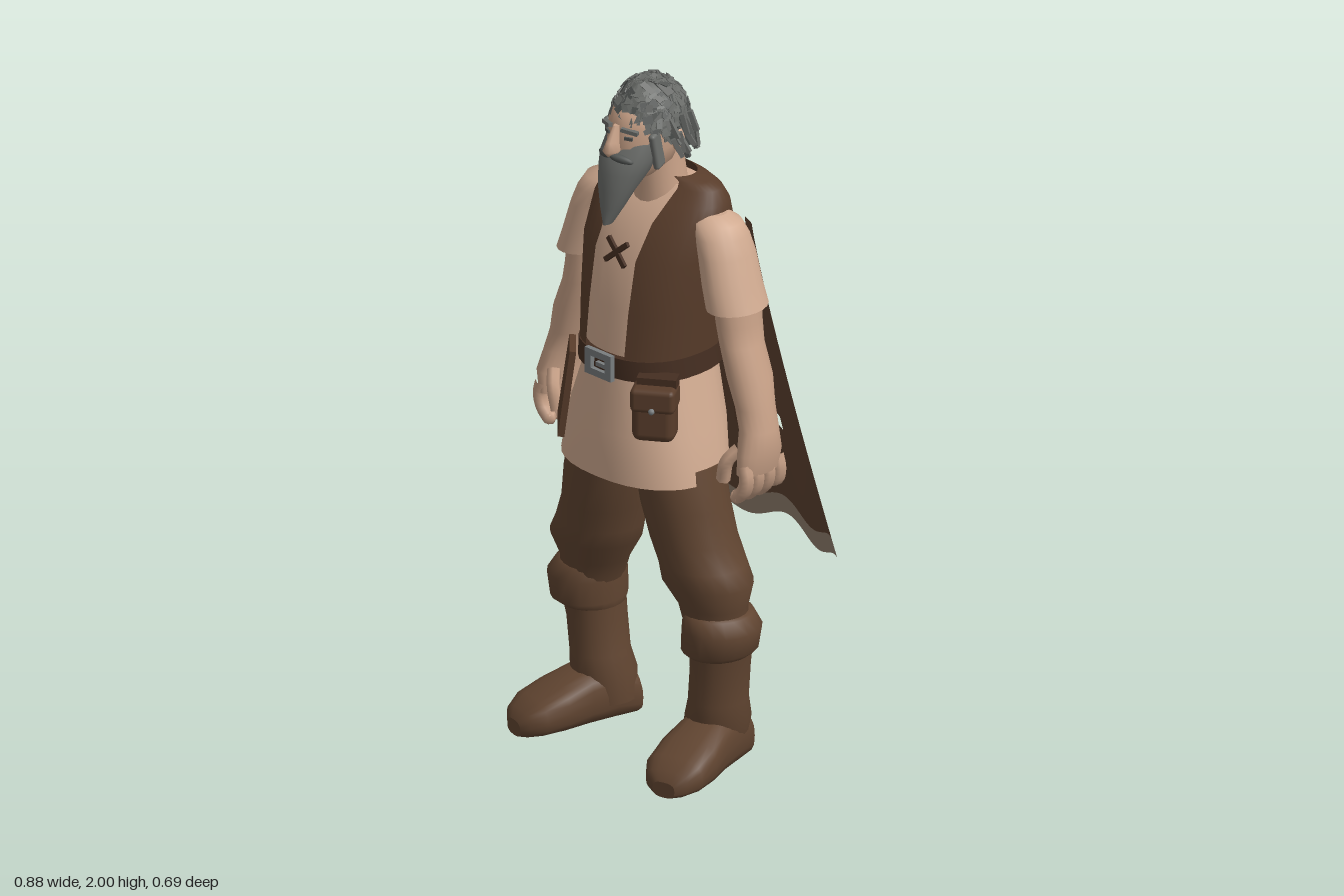
import * as THREE from 'three';
import { mergeGeometries } from 'three/addons/utils/BufferGeometryUtils.js';
import { RoundedBoxGeometry } from 'three/addons/geometries/RoundedBoxGeometry.js';

const mat = (name, color, side = THREE.FrontSide) => {
  const m = new THREE.MeshStandardMaterial({ color, side });
  m.name = name;
  return m;
};

// Cross-sections [cx, y, cz, rx, rz, gap] listed bottom to top; a gap leaves the front open.
function loft(rings, { n = 20, p = 2, open = false } = {}) {
  const pos = [], idx = [], cols = open ? n + 1 : n;
  const pw = (v) => Math.sign(v) * Math.abs(v) ** (2 / p);
  const addRing = ([cx, y, cz, rx, rz, gap = 0]) => {
    const g = open ? Math.asin((gap / rx) ** (p / 2)) : 0;
    for (let j = 0; j < cols; j++) {
      const a = g + ((Math.PI * 2 - 2 * g) * j) / n;
      pos.push(cx + rx * pw(Math.sin(a)), y, cz + rz * pw(Math.cos(a)));
    }
  };
  rings.forEach(addRing);
  for (let i = 0; i < rings.length - 1; i++) {
    for (let j = 0; j < n; j++) {
      const k = open ? j + 1 : (j + 1) % n;
      const a = i * cols + j, b = i * cols + k;
      idx.push(a, b, a + cols, b, b + cols, a + cols);
    }
  }
  if (!open) {
    [rings[0], rings[rings.length - 1]].forEach((r, top) => {
      const s = pos.length / 3, c = s + n;
      addRing(r);
      pos.push(r[0], r[1], r[2]);
      for (let j = 0; j < n; j++) {
        const k = (j + 1) % n;
        if (top) idx.push(c, s + j, s + k);
        else idx.push(c, s + k, s + j);
      }
    });
  }
  return surface(pos, idx);
}

function surface(pos, idx) {
  const geo = new THREE.BufferGeometry();
  geo.setAttribute('position', new THREE.Float32BufferAttribute(pos, 3));
  geo.setIndex(idx);
  geo.computeVertexNormals();
  return geo;
}

export function createModel() {
  const model = new THREE.Group();
  const skin = mat('skin', 0xc8a187), tunic = mat('tunic cloth', 0xd0aa90);
  const vestMat = mat('vest leather', 0x593d2b, THREE.DoubleSide);
  const capeMat = mat('cape cloth', 0x5f4331, THREE.DoubleSide);
  const hemMat = mat('cape hem', 0x958270, THREE.DoubleSide);
  const leather = mat('boot and trouser brown', 0x614531), dark = mat('dark leather', 0x452e21);
  const grey = mat('grey hair', 0x6a6c69), darkGrey = mat('dark grey hair', 0x525553);
  const metal = mat('buckle metal', 0x797d7f);

  const add = (name, geo, m, parent = model, at = [0, 0, 0], rot = [0, 0, 0]) => {
    const mesh = new THREE.Mesh(geo, m);
    mesh.name = name;
    mesh.position.set(...at);
    mesh.rotation.set(...rot);
    parent.add(mesh);
    return mesh;
  };
  const box = (x, y, z) => new THREE.BoxGeometry(x, y, z);
  const tube = (pts, r, n = 6) => new THREE.TubeGeometry(
    new THREE.CatmullRomCurve3(pts.map((q) => new THREE.Vector3(...q))), 8, r, n);

  // Tunic, vest and belt
  add('tunic', loft([
    [0, 0.86, 0.12, 0.25, 0.19], [0, 1.0, 0.112, 0.223, 0.19], [0, 1.15, 0.1, 0.178, 0.175],
    [0, 1.22, 0.1, 0.168, 0.17], [0, 1.35, 0.09, 0.185, 0.165], [0, 1.5, 0.075, 0.2, 0.152],
    [0, 1.6, 0.05, 0.2, 0.12], [0, 1.65, 0.033, 0.185, 0.086], [0, 1.68, 0.025, 0.14, 0.055],
  ], { n: 32, p: 2.3 }), tunic);
  add('vest', loft([
    [0, 1.2, 0.1, 0.184, 0.187, 0.075], [0, 1.35, 0.09, 0.2, 0.178, 0.076],
    [0, 1.5, 0.075, 0.216, 0.166, 0.078], [0, 1.6, 0.05, 0.222, 0.134, 0.085],
    [0, 1.65, 0.036, 0.213, 0.103, 0.095], [0, 1.685, 0.028, 0.188, 0.075, 0.1],
    [0, 1.7, 0.03, 0.15, 0.066, 0.095], [0, 1.71, 0.04, 0.1, 0.06, 0.075],
  ], { n: 36, p: 2.3, open: true }), vestMat);
  add('belt', loft([[0, 1.16, 0.1, 0.19, 0.19], [0, 1.22, 0.1, 0.187, 0.189]], { n: 32, p: 2.3 }), dark);
  const rect = (w, h) => [[-w, -h], [w, -h], [w, h], [-w, h]].map((q) => new THREE.Vector2(...q));
  const frame = new THREE.Shape(rect(0.051, 0.038));
  frame.holes.push(new THREE.Path(rect(0.028, 0.018).reverse()));
  add('buckle', new THREE.ExtrudeGeometry(frame, { depth: 0.015, bevelEnabled: false }), metal, model, [0, 1.19, 0.287]);
  add('bucklePin', box(0.04, 0.012, 0.012), metal, model, [0.01, 1.19, 0.295]);
  for (const s of [-1, 1]) {
    add('lacing', box(0.1, 0.014, 0.01), dark, model, [0, 1.505, 0.23], [-0.2, 0, s * 0.72]);
  }

  // Hip flaps and pouch
  const flap = (w) => {
    const g = box(w, 0.25, 0.018), q = g.attributes.position;
    for (let i = 0; i < q.count; i++) if (q.getY(i) > 0) q.setX(i, q.getX(i) * 0.75);
    return g;
  };
  add('rightHipFlap', flap(0.15), vestMat, model, [-0.19, 1.05, 0.235], [-0.18, -0.75, -0.15]);
  add('backHipFlap', flap(0.15), vestMat, model, [0.205, 1.05, -0.045], [0.15, 2.6, 0.15]);
  const pouch = new THREE.Group();
  pouch.name = 'pouch';
  pouch.position.set(0.172, 1.09, 0.25);
  pouch.rotation.y = 0.6;
  model.add(pouch);
  add('pouchBody', new RoundedBoxGeometry(0.12, 0.15, 0.085, 3, 0.025), vestMat, pouch, [0, -0.005, 0]);
  add('pouchFlap', new RoundedBoxGeometry(0.125, 0.07, 0.095, 2, 0.015), vestMat, pouch, [0, 0.045, 0.002]);
  add('pouchStrap', box(0.11, 0.03, 0.05), dark, pouch, [0.005, 0.085, -0.015]);
  add('pouchButton', new THREE.SphereGeometry(0.009, 8, 6), metal, pouch, [0, 0.02, 0.052]);

  // Arms and legs: the left side is built, the right one reuses it reversed in x
  const mirrorX = (g) => {
    const m = g.clone().scale(-1, 1, 1), ix = m.index.array;
    for (let i = 0; i < ix.length; i += 3) [ix[i], ix[i + 1]] = [ix[i + 1], ix[i]];
    return m;
  };
  const pair = (name, geo, m) => {
    add('left' + name, geo, m);
    add('right' + name, mirrorX(geo), m);
  };
  pair('Sleeve', loft([
    [0.293, 1.385, 0.055, 0.074, 0.096], [0.272, 1.45, 0.055, 0.072, 0.092], [0.25, 1.53, 0.053, 0.069, 0.088],
    [0.23, 1.58, 0.052, 0.07, 0.08], [0.205, 1.615, 0.05, 0.076, 0.066], [0.18, 1.632, 0.045, 0.05, 0.04],
  ]), tunic);
  pair('Arm', loft([
    [0.388, 0.93, 0.07, 0.036, 0.072], [0.393, 0.99, 0.068, 0.045, 0.074], [0.383, 1.05, 0.06, 0.048, 0.06],
    [0.363, 1.11, 0.055, 0.05, 0.06], [0.34, 1.19, 0.053, 0.057, 0.069], [0.308, 1.28, 0.052, 0.054, 0.068],
    [0.295, 1.34, 0.05, 0.055, 0.072], [0.287, 1.41, 0.05, 0.056, 0.075],
  ]), skin);
  const knuckles = [0.005, 0.046, 0.088, 0.128];
  const fingers = knuckles.map((z, i) => tube(
    [[0.395, 0.96, z], [0.405, 0.92, z], [0.395, 0.885, z], [0.368, i ? 0.858 : 0.875, z]], 0.021));
  fingers.push(tube([[0.365, 1.0, 0.115], [0.34, 0.96, 0.14], [0.325, 0.9, 0.14]], 0.02));
  fingers.push(...knuckles.map((z, i) => new THREE.SphereGeometry(0.021, 6, 4).translate(0.368, i ? 0.86 : 0.877, z)));
  pair('Fingers', mergeGeometries(fingers), skin);
  pair('TrouserLeg', loft([
    [0.245, 0.42, 0.085, 0.085, 0.09], [0.232, 0.49, 0.087, 0.1, 0.094], [0.219, 0.56, 0.096, 0.134, 0.12],
    [0.2, 0.61, 0.097, 0.128, 0.117], [0.174, 0.68, 0.105, 0.121, 0.121], [0.15, 0.78, 0.114, 0.127, 0.122],
    [0.125, 0.9, 0.116, 0.122, 0.128],
  ]), leather);
  pair('BootCuff', loft([
    [0.247, 0.345, 0.08, 0.085, 0.095], [0.256, 0.365, 0.085, 0.1, 0.114], [0.264, 0.43, 0.085, 0.107, 0.115],
    [0.25, 0.47, 0.085, 0.095, 0.1], [0.245, 0.475, 0.085, 0.075, 0.08],
  ]), leather);
  pair('BootShaft', loft([
    [0.212, 0.06, 0.055, 0.077, 0.085], [0.224, 0.14, 0.062, 0.09, 0.095], [0.232, 0.2, 0.068, 0.079, 0.088],
    [0.242, 0.3, 0.07, 0.079, 0.088], [0.25, 0.37, 0.075, 0.084, 0.093],
  ]), leather);
  // Foot sections run from heel to toe: [distance, half width, height]
  const foot = (list) => loft(list.map(([z, w, h]) => [0, z, -h / 2, w, h / 2]), { n: 20, p: 2.8 })
    .rotateX(Math.PI / 2).rotateY(0.25).translate(0.208, 0, 0);
  pair('BootFoot', foot([[-0.032, 0.05, 0.09], [-0.015, 0.07, 0.13], [0.06, 0.08, 0.17], [0.14, 0.084, 0.158],
    [0.22, 0.094, 0.13], [0.29, 0.09, 0.1], [0.33, 0.067, 0.073], [0.347, 0.035, 0.045]]), leather);

  // Head and face
  add('neck', loft([[0, 1.6, 0.055, 0.09, 0.085], [0, 1.68, 0.062, 0.072, 0.075], [0, 1.8, 0.075, 0.065, 0.07]]), skin);
  add('head', loft([
    [0, 1.72, 0.15, 0.04, 0.06], [0, 1.76, 0.13, 0.075, 0.1], [0, 1.81, 0.125, 0.09, 0.114],
    [0, 1.88, 0.118, 0.092, 0.112], [0, 1.915, 0.112, 0.085, 0.102], [0, 1.945, 0.1, 0.065, 0.08],
    [0, 1.97, 0.1, 0.035, 0.04],
  ], { n: 24 }), skin);
  add('nose', loft([[0, 1.8, 0.235, 0.012, 0.03], [0, 1.815, 0.243, 0.022, 0.035], [0, 1.84, 0.238, 0.015, 0.03],
    [0, 1.885, 0.225, 0.009, 0.016]], { n: 10 }), skin);
  for (const s of [-1, 1]) {
    add('ear', new THREE.SphereGeometry(0.03, 10, 8).scale(0.45, 1.15, 0.75), skin, model, [s * 0.1, 1.83, 0.09]);
    add('eye', box(0.024, 0.009, 0.008), darkGrey, model, [s * 0.04, 1.853, 0.223], [0, s * 0.35, 0]);
    add('eyebrow', box(0.05, 0.011, 0.014), grey, model, [s * 0.043, 1.875, 0.222], [0, s * 0.4, -s * 0.12]);
    add('moustache', new THREE.SphereGeometry(0.03, 10, 8).scale(1.3, 0.4, 0.4), darkGrey, model,
      [s * 0.032, 1.796, 0.243], [0, s * 0.45, -s * 0.2]);
    add('sideburn', new RoundedBoxGeometry(0.02, 0.11, 0.045, 2, 0.009), grey, model,
      [s * 0.084, 1.815, 0.158], [0.2, s * 0.3, 0]);
  }
  add('beard', loft([
    [0, 1.6, 0.262, 0.008, 0.018], [0, 1.65, 0.246, 0.034, 0.034], [0, 1.7, 0.228, 0.055, 0.05],
    [0, 1.75, 0.2, 0.074, 0.07], [0, 1.79, 0.182, 0.086, 0.074], [0, 1.835, 0.155, 0.089, 0.07],
  ], { n: 20 }), grey);

  // Hair: a tilted cap covered in overlapping strands
  const radii = new THREE.Vector3(0.102, 0.142, 0.118), centre = new THREE.Vector3(0, 1.85, 0.103);
  const tilt = new THREE.Matrix4().makeRotationX(-0.56);
  add('hairCap', new THREE.SphereGeometry(1, 24, 14, 0, Math.PI * 2, 0, 1.7).applyMatrix4(tilt)
    .scale(radii.x, radii.y, radii.z).translate(centre.x, centre.y, centre.z), grey);
  let seed = 7;
  const rnd = () => (seed = (seed * 16807) % 2147483647) / 2147483647;
  const strands = [[], []];
  for (let i = 0; i < 240; i++) {
    const th = Math.acos(1 - rnd() * 1.12), ph = rnd() * Math.PI * 2;
    const d = new THREE.Vector3(Math.sin(th) * Math.sin(ph), Math.cos(th), Math.sin(th) * Math.cos(ph)).applyMatrix4(tilt);
    const n = d.clone().divide(radii).normalize();
    const down = new THREE.Vector3(0, -1, -0.25).addScaledVector(n, n.y + 0.25 * n.z).normalize();
    const m = new THREE.Matrix4().makeBasis(down.clone().cross(n), down, n).setPosition(d.multiply(radii).add(centre));
    const g = box(0.014 + rnd() * 0.016, 0.04 + rnd() * 0.04, 0.003);
    g.rotateX(-0.07 + rnd() * 0.14).rotateZ((rnd() - 0.5) * 1.0).applyMatrix4(m);
    strands[i % 5 ? 0 : 1].push(g);
  }
  for (const s of [-1, 1]) {
    for (let i = 0; i < 16; i++) {
      strands[i % 4 ? 0 : 1].push(box(0.013, 0.06, 0.014).rotateZ(s * (0.1 + rnd() * 0.5)).rotateY(rnd())
        .translate(s * (0.1 + rnd() * 0.022), 1.8 + rnd() * 0.1, 0.045 + rnd() * 0.07));
    }
  }
  add('hairStrands', mergeGeometries(strands[0]), grey);
  add('darkHairStrands', mergeGeometries(strands[1]), darkGrey);

  // Cape: a curved sheet with a ragged top, wavy hem and worn holes given as [u0, u1, v0, v1]
  const holes = [[0.29, 0.42, 0.41, 0.5], [0.38, 0.54, 0.53, 0.57], [0.4, 0.54, 0.62, 0.66]];
  const capePoint = (u, v) => {
    const edge = -0.02 - 0.22 * v ** 1.2, mid = -0.08 - 0.27 * v ** 1.08;
    const bottom = 0.545 + 0.022 * Math.sin(u * Math.PI * 2.5);
    return [u * (0.272 + 0.108 * v), 1.6 + (bottom - 1.6) * v, mid + (edge - mid) * u * u];
  };
  const sheet = (topAt, from, to, cols, rows) => {
    const pos = [], idx = [], uAt = (j) => (j / cols) * 2 - 1, vAt = (i) => from + ((to - from) * i) / rows;
    for (let i = 0; i <= rows; i++) {
      for (let j = 0; j <= cols; j++) pos.push(...capePoint(uAt(j), Math.max(vAt(i), topAt(uAt(j), j))));
    }
    for (let i = 0; i < rows; i++) {
      for (let j = 0; j < cols; j++) {
        const a = i * (cols + 1) + j, b = a + cols + 1, u = uAt(j + 0.5), v = vAt(i + 0.5);
        const torn = vAt(i + 1) <= Math.min(topAt(uAt(j), j), topAt(uAt(j + 1), j + 1));
        if (torn || holes.some((h) => u > h[0] && u < h[1] && v > h[2] && v < h[3])) continue;
        idx.push(a, a + 1, b, a + 1, b + 1, b);
      }
    }
    return surface(pos, idx);
  };
  const ragged = (u, j) => Math.max(0, 0.27 * (1 - (Math.abs(u) / 0.8) ** 2.4))
    + (Math.abs(u) < 0.8 ? (j % 3) * 0.02 + (j % 2) * 0.018 : 0);
  add('cape', sheet(ragged, 0, 0.94, 48, 94), capeMat);
  add('capeHem', sheet(() => 0, 0.94, 1, 48, 1), hemMat);
  return model;
}
